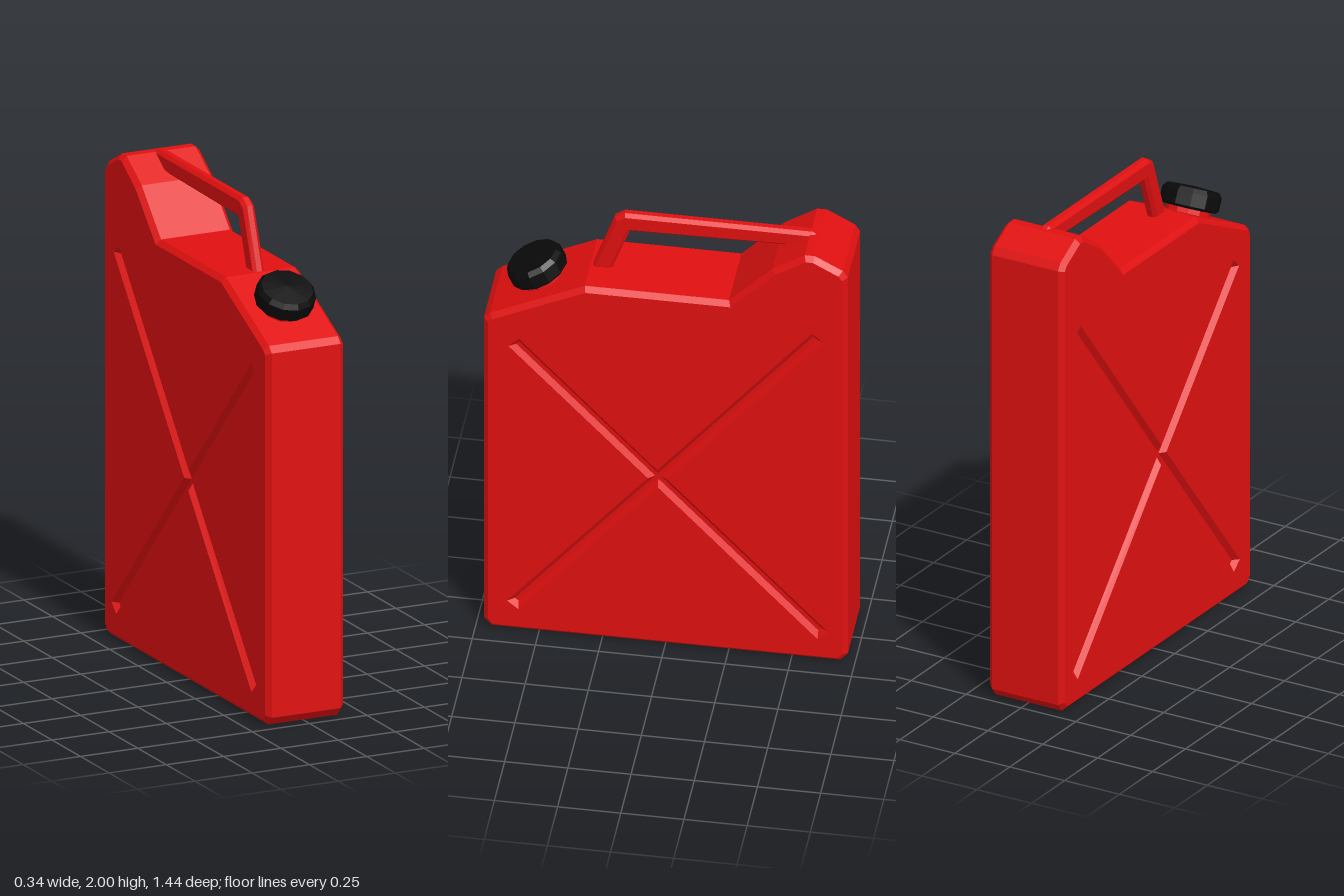
import * as THREE from 'three';

const red = new THREE.MeshStandardMaterial({ color: 0xe01010, flatShading: true });
const black = new THREE.MeshStandardMaterial({ color: 0x0a0a0a, flatShading: true });

const toPoints = (list) => list.map(([z, y]) => new THREE.Vector2(z, y));

// Extrudes a (z, y) shape across x, centred, with one chamfer on both sides
function slab(shape, width, bevel) {
  const depth = width - 2 * bevel;
  const geometry = new THREE.ExtrudeGeometry(shape, {
    depth,
    bevelEnabled: bevel > 0,
    bevelSize: bevel,
    bevelThickness: bevel,
    bevelOffset: -bevel,
    bevelSegments: 1,
  });
  geometry.translate(0, 0, -depth / 2);
  geometry.rotateY(-Math.PI / 2);
  return geometry;
}

// Outline of a four-armed cross with arms of half width w
function crossPoints(center, ends, w) {
  const dirs = ends.map((e) => e.clone().sub(center).normalize());
  const points = [];
  ends.forEach((end, i) => {
    const d = dirs[i];
    const next = dirs[(i + 1) % ends.length];
    const side = new THREE.Vector2(-d.y, d.x).multiplyScalar(w);
    points.push(end.clone().sub(side), end.clone().add(side));
    points.push(center.clone().addScaledVector(d.clone().add(next), w / d.cross(next)));
  });
  return points;
}

function createModel() {
  const model = new THREE.Group();
  model.name = 'fuelCan';
  const add = (name, geometry, material, parent = model) => {
    const mesh = new THREE.Mesh(geometry, material);
    mesh.name = name;
    parent.add(mesh);
    return mesh;
  };

  // Body with a pressed cross groove on both broad sides
  const bevel = 0.02;
  const width = 0.34;
  const body = new THREE.Shape(toPoints([
    [0.69, 0.005], [0.72, 0.04], [0.72, 1.525], [0.695, 1.55], [0.32, 1.73],
    [-0.25, 1.73], [-0.42, 1.905], [-0.55, 1.99], [-0.59, 1.99], [-0.7, 1.93],
    [-0.72, 1.9], [-0.72, 0.04], [-0.69, 0.005],
  ]));
  const center = new THREE.Vector2(0.03, 0.825);
  const ends = toPoints([[0.585, 1.415], [-0.59, 1.585], [-0.61, 0.145], [0.59, 0.145]]);
  body.holes.push(new THREE.Path(crossPoints(center, ends, 0.009).reverse()));
  add('body', slab(body, width, bevel), red);

  // Floor of the grooves
  const floor = new THREE.Shape(crossPoints(center, ends, 0.013));
  add('grooveFloor', slab(floor, width - 2 * bevel, 0), red);

  // Carrying handle from the shoulder to the raised back
  const handle = new THREE.Shape(toPoints([
    [0.315, 1.72], [0.225, 1.975], [0.185, 2], [-0.56, 2],
    [-0.6, 1.97], [-0.5, 1.925], [0.165, 1.915], [0.235, 1.72],
  ]));
  add('handle', slab(handle, 0.05, 0.014), red);

  // Spout, square to the sloping shoulder
  const spout = new THREE.Group();
  spout.name = 'spout';
  spout.position.set(0, 1.637, 0.509);
  spout.rotation.x = Math.atan2(0.18, 0.375);
  model.add(spout);
  const neck = new THREE.CylinderGeometry(0.09, 0.09, 0.06, 12);
  add('neck', neck, red, spout).position.y = 0.01;
  const cap = new THREE.LatheGeometry(toPoints([
    [0, 0.022], [0.108, 0.022], [0.119, 0.032], [0.119, 0.085], [0.104, 0.104], [0, 0.11],
  ]), 12);
  add('cap', cap, black, spout);

  return model;
}

export { createModel };
